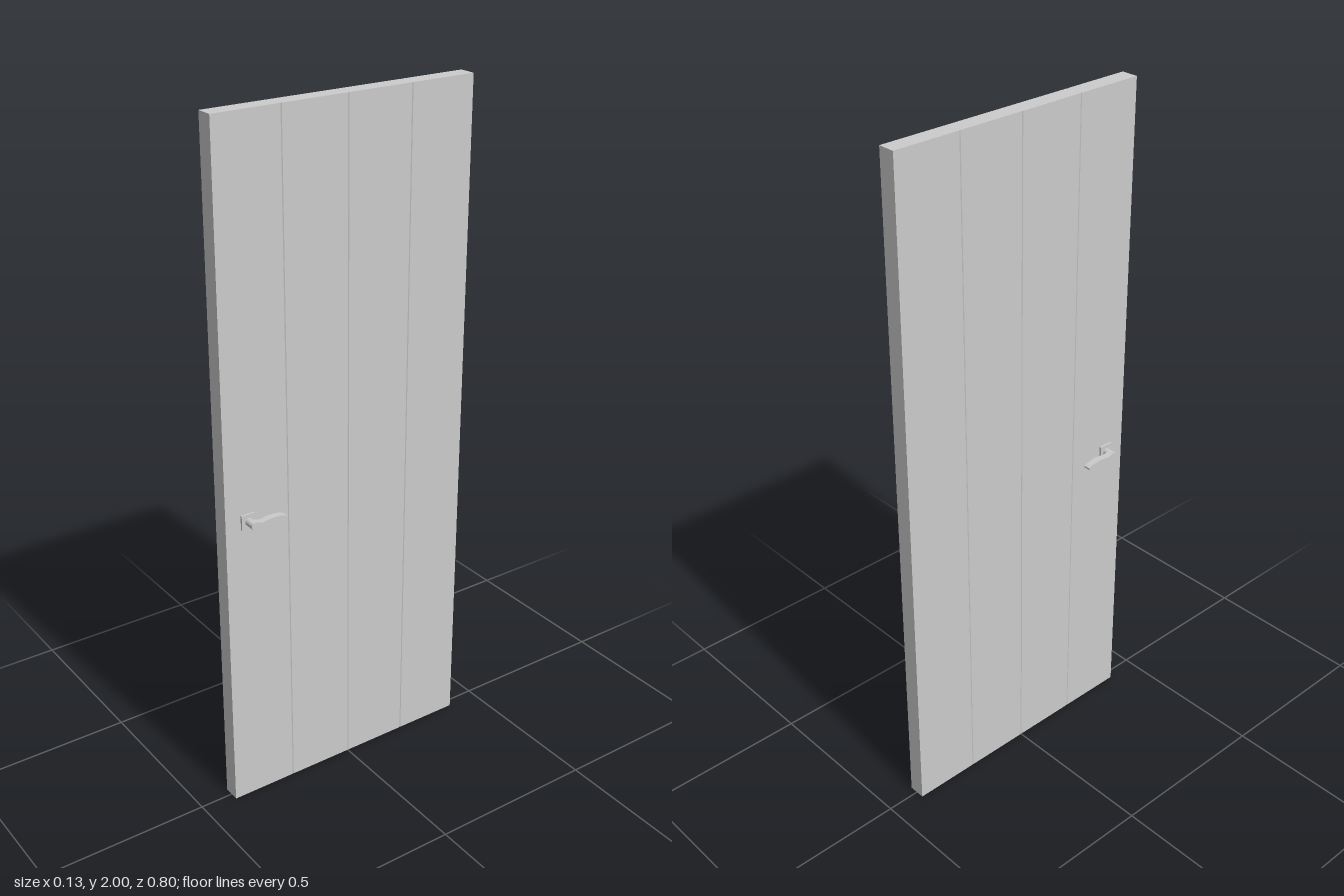
import * as THREE from 'three';

const material = new THREE.MeshStandardMaterial({ color: 0xcccccc });

function addMesh(parent, name, geometry, x = 0, y = 0, z = 0) {
  const mesh = new THREE.Mesh(geometry, material);
  mesh.name = name;
  mesh.position.set(x, y, z);
  parent.add(mesh);
}

// Door leaf: plan outline with V grooves between four planks, extruded upwards
function leafGeometry() {
  const half = 0.025, groove = 0.002, joints = [-0.2, 0, 0.2];
  const side = [[half, -0.4]];
  for (const z of joints) {
    side.push([half, z - groove], [half - groove, z], [half, z + groove]);
  }
  side.push([half, 0.4]);
  const other = side.map(([x, z]) => [-x, z]).reverse();
  const outline = [...side, ...other].map(([x, z]) => new THREE.Vector2(x, z));
  const geometry = new THREE.ExtrudeGeometry(new THREE.Shape(outline), { depth: 2, bevelEnabled: false });
  return geometry.rotateX(-Math.PI / 2);
}

// Lever: round head, narrow neck and gently arched grip, drawn from the side
function leverGeometry(width) {
  const s = new THREE.Shape();
  s.moveTo(0, -0.011);
  s.bezierCurveTo(0.012, -0.011, 0.016, -0.005, 0.028, -0.004);
  s.bezierCurveTo(0.05, 0.002, 0.075, 0.003, 0.1, -0.006);
  s.quadraticCurveTo(0.104, -0.005, 0.103, 0.001);
  s.bezierCurveTo(0.08, 0.012, 0.05, 0.011, 0.028, 0.006);
  s.bezierCurveTo(0.018, 0.005, 0.012, 0.011, 0, 0.011);
  s.absarc(0, 0, 0.011, Math.PI / 2, Math.PI * 1.5, false);
  const geometry = new THREE.ExtrudeGeometry(s, { depth: width, bevelEnabled: false, curveSegments: 10 });
  return geometry.translate(0, 0, -width / 2).rotateY(Math.PI / 2);
}

function createHandle(name, side) {
  const handle = new THREE.Group();
  handle.name = name;
  handle.position.set(0, 0.9, 0.331);
  addMesh(handle, 'rosePlate', new THREE.BoxGeometry(0.006, 0.043, 0.043), side * 0.028);
  const stem = new THREE.CylinderGeometry(0.011, 0.011, 0.016, 24).rotateZ(Math.PI / 2);
  addMesh(handle, 'stem', stem, side * 0.038);
  addMesh(handle, 'lever', leverGeometry(0.02), side * 0.055);
  return handle;
}

export function createModel() {
  const door = new THREE.Group();
  door.name = 'door';
  addMesh(door, 'plankedLeaf', leafGeometry());
  door.add(createHandle('leftHandle', 1), createHandle('rightHandle', -1));
  return door;
}
